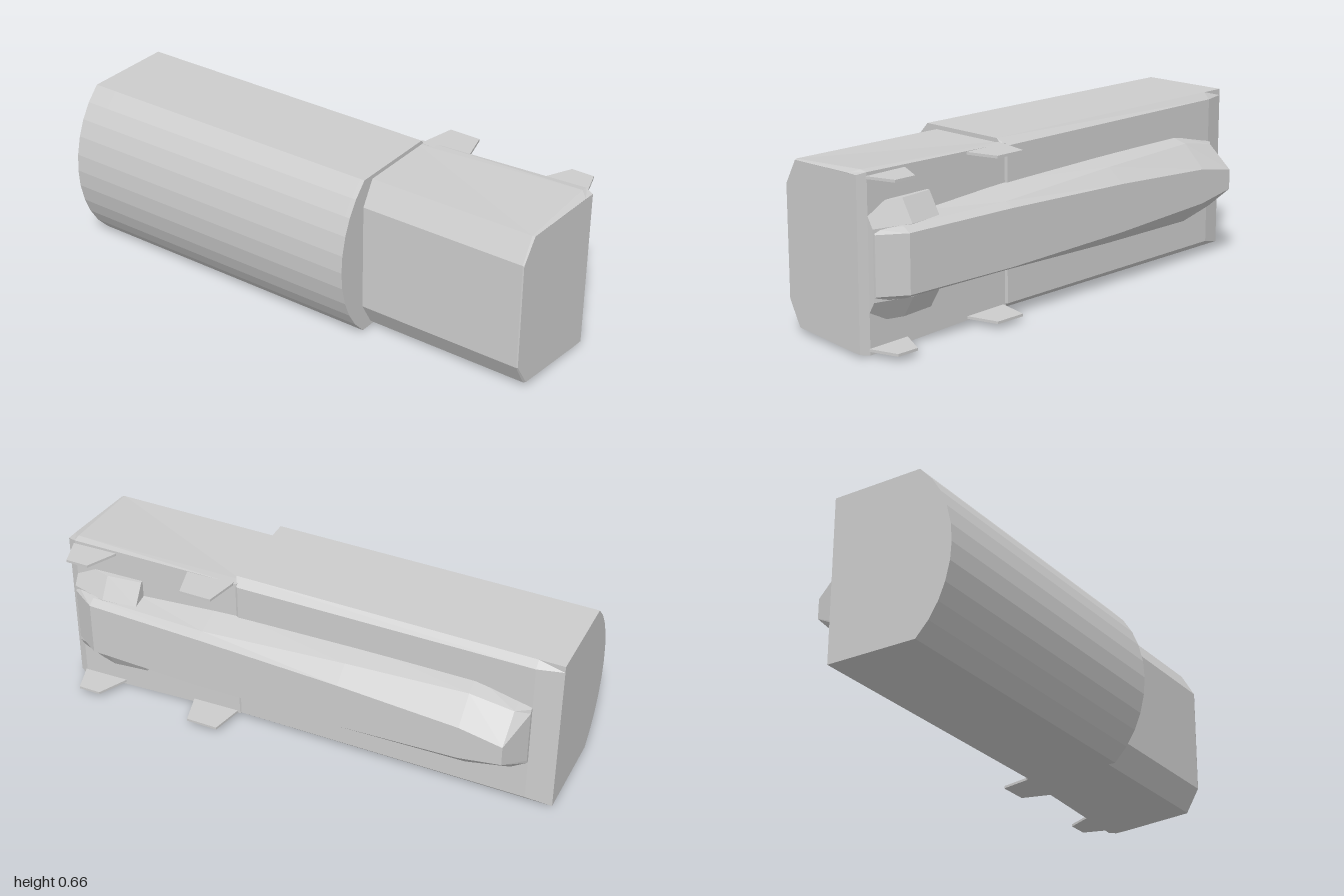
import * as THREE from 'three';

const MID = 0.33; // height of the mirror plane

// Skin between cross-sections. Each section is a list of [x, z, halfHeight]
// running from back to front, mirrored about the mid height.
function loft(sections) {
  const rings = sections.map((half) => [
    ...half.map(([x, z, h]) => [x, MID + h, z]),
    ...half.slice().reverse().map(([x, z, h]) => [x, MID - h, z]),
  ]);
  const pos = [];
  const tri = (a, b, c) => pos.push(...a, ...b, ...c);
  const n = rings[0].length;
  for (let i = 0; i < rings.length - 1; i++) {
    const a = rings[i], b = rings[i + 1];
    for (let j = 0; j < n; j++) {
      const k = (j + 1) % n;
      tri(a[j], a[k], b[k]);
      tri(a[j], b[k], b[j]);
    }
  }
  const first = rings[0], last = rings[rings.length - 1];
  for (let j = 1; j < n - 1; j++) {
    tri(first[0], first[j + 1], first[j]);
    tri(last[0], last[j], last[j + 1]);
  }
  const geometry = new THREE.BufferGeometry();
  geometry.setAttribute('position', new THREE.Float32BufferAttribute(pos, 3));
  geometry.computeVertexNormals();
  return geometry;
}

// Section at constant x
const at = (x, profile) => profile.map(([z, h]) => [x, z, h]);

export function createModel() {
  const group = new THREE.Group();
  const material = new THREE.MeshStandardMaterial({ color: 0xcccccc, flatShading: true });
  const add = (name, geometry) => {
    const mesh = new THREE.Mesh(geometry, material);
    mesh.name = name;
    group.add(mesh);
    return mesh;
  };

  // Long body: faceted bulging front, slightly raised back panel
  const bulge = [[-0.165, 0.326], [0.205, 0.326], [0.257, 0.27], [0.295, 0.21],
    [0.322, 0.145], [0.34, 0.07], [0.345, 0]];
  add('mainBody', loft([
    at(-1, [[-0.165, 0.3], ...bulge]),
    at(-0.9, [[-0.19, 0.3], ...bulge]),
    at(0.275, [[-0.2, 0.3], ...bulge]),
    at(0.295, [[-0.19, 0.3], ...bulge]),
  ]));

  // Head block: flares to the end, chamfered front, slanted and bevelled end face
  const endX = (z) => 0.97 + 0.03 * Math.min(1, (0.21 - z) / 0.41);
  const endProfile = [[-0.205, 0.318], [-0.16, 0.318], [0.15, 0.308], [0.208, 0.213]];
  add('headBlock', loft([
    at(0.28, [[-0.195, 0.31], [-0.16, 0.31], [0.155, 0.31], [0.21, 0.215]]),
    at(0.965, [[-0.22, 0.325], [-0.19, 0.33], [0.155, 0.31], [0.21, 0.215]]),
    endProfile.map(([z, h]) => [endX(z), z, h]),
  ]));

  // Tapered spine along the back
  const spine = (x, top, topHalf, shoulder, shoulderHalf, baseHalf) =>
    at(x, [[top, topHalf], [shoulder, shoulderHalf], [-0.17, baseHalf]]);
  add('backSpine', loft([
    spine(-0.9, -0.205, 0.11, -0.2, 0.125, 0.126),
    spine(-0.85, -0.345, 0.04, -0.24, 0.13, 0.14),
    spine(-0.68, -0.343, 0.07, -0.25, 0.16, 0.18),
    spine(-0.2, -0.338, 0.095, -0.27, 0.15, 0.18),
    spine(0.38, -0.33, 0.11, -0.295, 0.128, 0.17),
    spine(0.86, -0.315, 0.11, -0.285, 0.128, 0.15),
    spine(0.96, -0.25, 0.11, -0.235, 0.128, 0.14),
  ]));

  // Sloped collar hugging the spine at the head end
  const collar = (x, z) => at(x, [[z, 0.13], [z + 0.05, 0.213], [-0.18, 0.215]]);
  add('spineCollar', loft([collar(0.68, -0.27), collar(0.82, -0.285), collar(0.965, -0.245)]));

  // Four thin fins on the head block, outlined in x and depth
  const outlines = [
    [[0.295, 0.17], [0.295, 0.2], [0.322, 0.325], [0.45, 0.325], [0.485, 0.2], [0.485, 0.17]],
    [[0.78, 0.19], [0.79, 0.22], [0.845, 0.33], [0.935, 0.33], [0.97, 0.22], [0.95, 0.19]],
  ];
  for (const outline of outlines) {
    const shape = new THREE.Shape(outline.map(([x, d]) => new THREE.Vector2(x, d)));
    const geometry = new THREE.ExtrudeGeometry(shape, { depth: 0.01, bevelEnabled: false });
    geometry.rotateX(-Math.PI / 2); // outline depth becomes -z, thickness +y
    for (const [side, y] of [['upper', 0.632], ['lower', 0.02]]) {
      add(side + 'Fin', geometry).position.y = y;
    }
  }
  return group;
}
